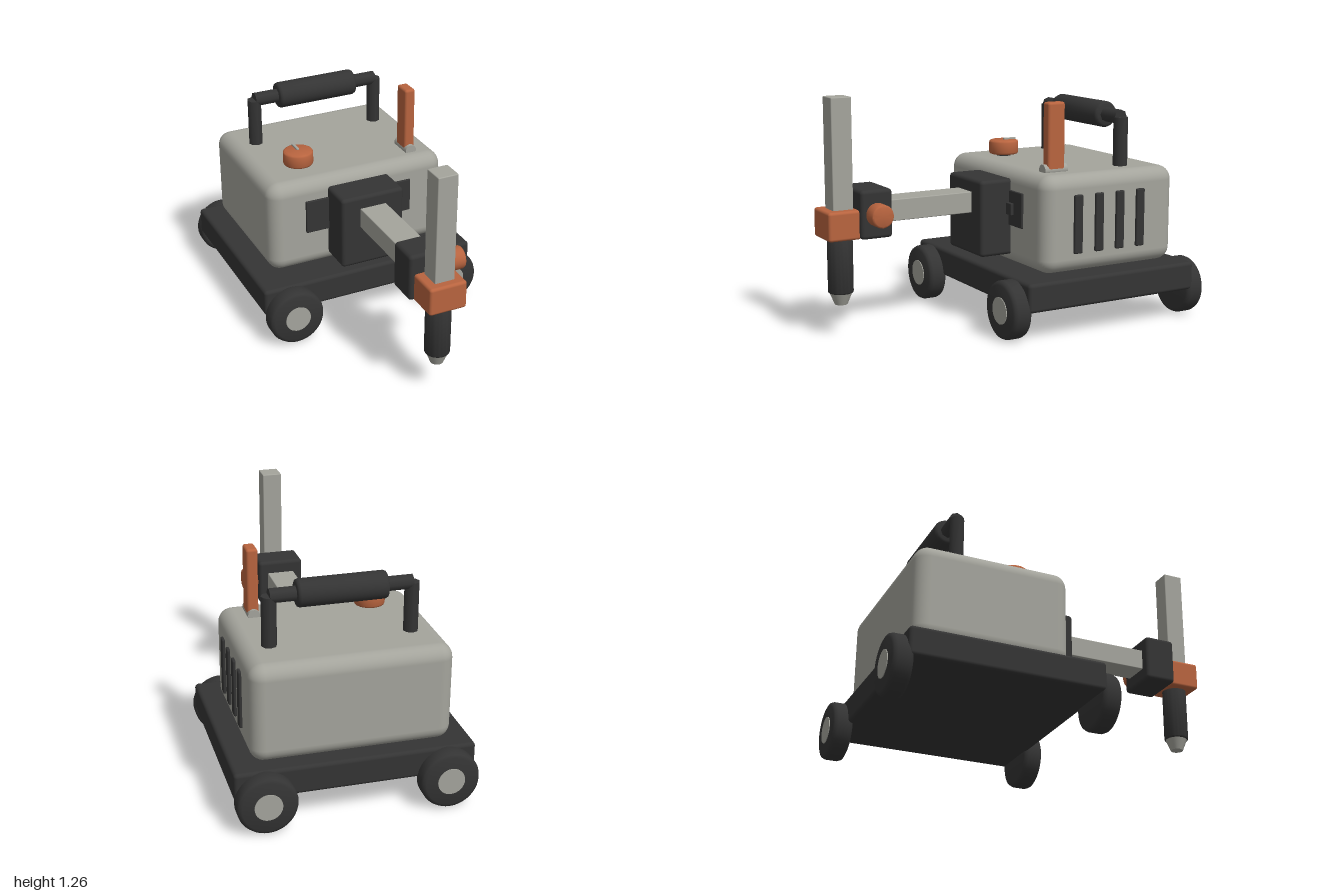
import * as THREE from 'three';
import { RoundedBoxGeometry } from 'three/addons/geometries/RoundedBoxGeometry.js';
import { toCreasedNormals } from 'three/addons/utils/BufferGeometryUtils.js';

const mat = (name, color) => {
  const m = new THREE.MeshStandardMaterial({ color });
  m.name = name;
  return m;
};

export function createModel() {
  const light = mat('light grey', 0xa4a49c);
  const dark = mat('charcoal', 0x343434);
  const orange = mat('burnt orange', 0xb8643f);
  const model = new THREE.Group();

  const add = (name, geometry, material, parent = model) => {
    const mesh = new THREE.Mesh(geometry, material);
    mesh.name = name;
    parent.add(mesh);
    return mesh;
  };
  // Rounded block given by its extents on each axis
  const block = (name, [x0, x1], [y0, y1], [z0, z1], r, material) => {
    const mesh = add(name, new RoundedBoxGeometry(x1 - x0, y1 - y0, z1 - z0, 4, r), material);
    mesh.position.set((x0 + x1) / 2, (y0 + y1) / 2, (z0 + z1) / 2);
    return mesh;
  };
  // Solid of revolution about y, with bevelled rims, centred at its middle
  const drum = (r, h, bevel, sides = 40) => {
    const b = bevel * 0.3;
    const pts = [[0, -h / 2], [r - bevel, -h / 2], [r - b, -h / 2 + b], [r, -h / 2 + bevel],
      [r, h / 2 - bevel], [r - b, h / 2 - b], [r - bevel, h / 2], [0, h / 2]];
    const g = new THREE.LatheGeometry(pts.map(p => new THREE.Vector2(...p)), sides);
    return toCreasedNormals(g, 0.9);
  };

  // Trolley base
  block('base', [-0.63, 0.63], [0.165, 0.32], [-0.92, 0.13], 0.02, dark);

  // Four wheels with pale hubs on their outer faces
  for (const sx of [-1, 1]) {
    for (const [z, dir] of [[0.162, 1], [-0.942, -1]]) {
      const wheel = new THREE.Group();
      wheel.name = 'wheel';
      add('tyre', drum(0.156, 0.106, 0.022), dark, wheel);
      add('hub', new THREE.CylinderGeometry(0.072, 0.072, 0.008, 32), light, wheel).position.y = 0.053;
      wheel.rotation.x = dir * Math.PI / 2;
      wheel.position.set(sx * 0.475, 0.161, z);
      model.add(wheel);
    }
  }

  // Main housing with vent slots on its left side
  block('housing', [-0.525, 0.525], [0.32, 0.845], [-0.86, -0.02], 0.075, light);
  for (const z of [-0.228, -0.36, -0.492, -0.624]) {
    block('ventSlot', [0.505, 0.54], [0.425, 0.74], [z - 0.026, z + 0.026], 0.008, dark);
  }

  // Carrying handle
  for (const x of [-0.37, 0.37]) {
    const post = add('handlePost', new THREE.CylinderGeometry(0.04, 0.04, 0.29, 8), dark);
    post.position.set(x, 0.965, -0.6);
  }
  const bar = add('handleBar', new THREE.CylinderGeometry(0.04, 0.04, 0.74, 8), dark);
  const grip = add('handleGrip', drum(0.072, 0.47, 0.016), dark);
  for (const part of [bar, grip]) {
    part.rotation.z = Math.PI / 2;
    part.position.set(0, 1.11, -0.6);
  }

  // Front plate, latch and arm mount
  block('frontPlate', [-0.318, 0.314], [0.54, 0.73], [-0.04, -0.008], 0.004, dark);
  block('latch', [0.17, 0.234], [0.6, 0.665], [-0.02, 0.01], 0.004, dark);
  block('armMount', [-0.185, 0.182], [0.375, 0.79], [-0.04, 0.163], 0.02, dark);

  // Boom and tool head
  block('boom', [-0.077, 0.077], [0.605, 0.72], [0.12, 0.7], 0.005, light);
  block('headBlock', [-0.13, 0.13], [0.533, 0.79], [0.655, 0.832], 0.02, dark);
  block('clamp', [-0.104, 0.104], [0.533, 0.686], [0.82, 1], 0.015, orange);
  block('slideColumn', [-0.055, 0.055], [0.6, 1.266], [0.843, 0.955], 0.005, light);
  const clampKnob = add('clampKnob', drum(0.061, 0.09, 0.01, 32), orange);
  clampKnob.rotation.z = Math.PI / 2;
  clampKnob.position.set(0.167, 0.662, 0.745);

  // Torch barrel and nozzle
  add('torchBarrel', drum(0.067, 0.32, 0.008), dark).position.set(0, 0.4, 0.9);
  add('nozzle', new THREE.CylinderGeometry(0.06, 0.034, 0.064, 32), light).position.set(0, 0.21, 0.9);

  // Dial on the top with its pointer
  add('dialSpindle', new THREE.CylinderGeometry(0.04, 0.04, 0.03, 24), dark).position.set(-0.265, 0.85, -0.235);
  add('dial', drum(0.083, 0.08, 0.012), orange).position.set(-0.265, 0.895, -0.235);
  block('dialPointer', [-0.273, -0.257], [0.93, 0.944], [-0.31, -0.235], 0.003, light);

  // Lever on its pivot pin
  const pin = add('leverPivot', new THREE.CylinderGeometry(0.032, 0.032, 0.14, 24), light);
  pin.rotation.x = Math.PI / 2;
  pin.position.set(0.365, 0.855, -0.175);
  block('lever', [0.335, 0.396], [0.84, 1.215], [-0.228, -0.124], 0.014, orange);

  return model;
}
